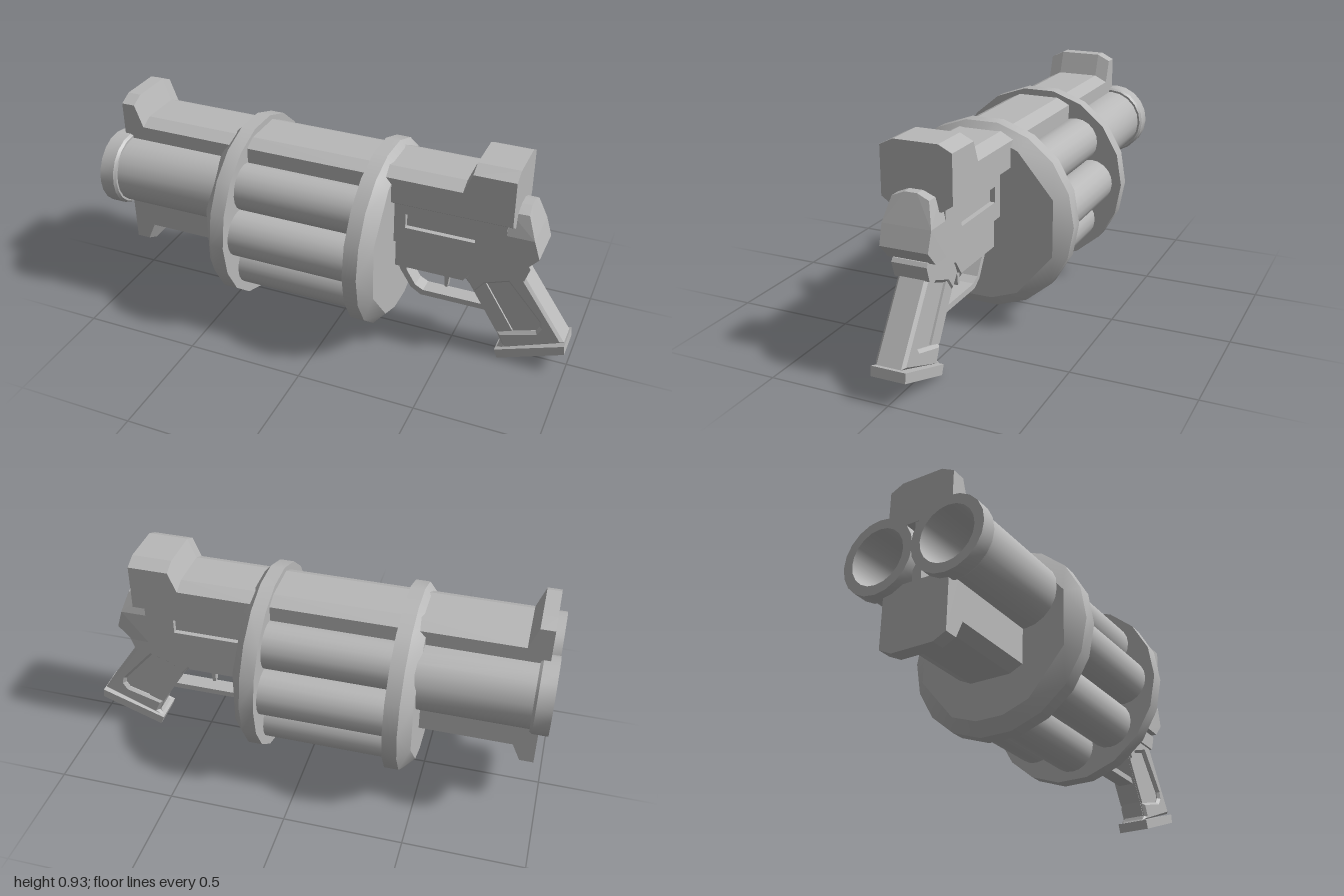
import * as THREE from 'three';
import { toCreasedNormals } from 'three/addons/utils/BufferGeometryUtils.js';
import { ConvexGeometry } from 'three/addons/geometries/ConvexGeometry.js';

const AXIS_Y = 0.47; // height of the drum axis

export function createModel() {
  const model = new THREE.Group();
  const grey = new THREE.MeshStandardMaterial({ color: 0xb8b8b8 });
  grey.name = 'grey metal';

  const add = (name, geometry, parent = model) => {
    const mesh = new THREE.Mesh(geometry, grey);
    mesh.name = name;
    parent.add(mesh);
    return mesh;
  };
  const group = (name) => {
    const g = new THREE.Group();
    g.name = name;
    model.add(g);
    return g;
  };
  // convex solid around a list of [x, y, z]
  const hull = (points) => new ConvexGeometry(points.map((p) => new THREE.Vector3(...p)));
  // side outline extruded evenly to both sides of z = 0
  const plate = (outline, half, hole, bevel = 0) => {
    const shape = new THREE.Shape(outline.map((p) => new THREE.Vector2(...p)));
    if (hole) shape.holes.push(new THREE.Path(hole.map((p) => new THREE.Vector2(...p))));
    const depth = 2 * (half - bevel);
    return new THREE.ExtrudeGeometry(shape, {
      depth, bevelEnabled: bevel > 0, bevelSize: bevel, bevelOffset: -bevel,
      bevelThickness: bevel, bevelSegments: 1,
    }).translate(0, 0, -depth / 2);
  };
  const alongX = (radius, x0, x1, y, z, sides) =>
    new THREE.CylinderGeometry(radius, radius, x1 - x0, sides)
      .rotateZ(Math.PI / 2).translate((x0 + x1) / 2, y, z);

  // drum: core, eight chambers and two chamfered end collars
  const drum = group('drum');
  add('drumCore', alongX(0.25, -0.4, 0.18, AXIS_Y, 0, 24), drum);
  for (let i = 0; i < 8; i++) {
    const a = (i * Math.PI) / 4;
    add('chamber', alongX(0.1, -0.4, 0.18, AXIS_Y + 0.256 * Math.sin(a), 0.256 * Math.cos(a), 20), drum);
  }
  const ring = (x, r, degrees) => degrees.map((d) => {
    const a = THREE.MathUtils.degToRad(d);
    return [x, AXIS_Y + r * Math.sin(a), r * Math.cos(a)];
  });
  const outer = Array.from({ length: 18 }, (_, i) => i * 20);
  const face = [20, 60, 80, 100, 120, 160, 200, 240, 260, 280, 300, 340];
  const collar = (name, inside, edge, end) => add(name, toCreasedNormals(hull([
    ...ring(inside, 0.398, outer), ...ring(edge, 0.398, outer), ...ring(end, 0.347, face),
  ]), 0.4), drum);
  collar('frontCollar', -0.375, -0.435, -0.482);
  collar('rearCollar', 0.15, 0.21, 0.255);

  // two hollow barrels, each with a thicker muzzle ring
  const tube = [
    [0.118, -0.42], [0.118, -1], [0.158, -1], [0.158, -0.937],
    [0.15, -0.926], [0.141, -0.926], [0.141, -0.42],
  ];
  for (const side of [1, -1]) {
    const barrel = new THREE.LatheGeometry(tube.map((p) => new THREE.Vector2(...p)), 20);
    // lathe axis turned from y to x
    barrel.rotateZ(-Math.PI / 2);
    // keep the outside facing outward for this profile order
    const mesh = add('barrel', toCreasedNormals(barrel.toNonIndexed(), 0.5));
    mesh.position.set(0, 0.608, side * 0.155);
  }

  // chamfered rail sections; dir = 1 has its chamfer on top, -1 below
  const section = (x, yTop, yEnd, dir = 1) => [1, -1].flatMap((s) => [
    [x, yTop, s * 0.09], [x, yTop - dir * 0.027, s * 0.145], [x, yEnd, s * 0.145],
  ]);
  const railPart = (name, stations, yEnd, dir, parent) => {
    for (let i = 0; i < stations.length - 1; i++) {
      add(name, hull([
        ...section(...stations[i], yEnd, dir), ...section(...stations[i + 1], yEnd, dir),
      ]), parent);
    }
  };
  const rails = group('rails');
  railPart('upperFrontRail', [[-0.963, 0.93], [-0.905, 0.93], [-0.87, 0.835], [-0.38, 0.835]], 0.735, 1, rails);
  railPart('drumRail', [[-0.38, 0.835], [0.2, 0.835]], 0.7, 1, rails);
  railPart('rearRail', [[0.2, 0.835], [0.545, 0.835], [0.58, 0.92], [0.75, 0.92]], 0.7, 1, rails);
  railPart('lowerFrontRail', [[-0.963, 0.215], [-0.905, 0.215], [-0.87, 0.292], [-0.44, 0.292]], 0.483, -1, rails);
  add('railWeb', plate([[-0.96, 0.45], [-0.44, 0.45], [-0.44, 0.76], [-0.96, 0.76]], 0.02), rails);
  // underside of the rear rail narrowing into the receiver
  add('railTaper', hull([0.2, 0.75].flatMap((x) => [1, -1].flatMap((s) => [
    [x, 0.7, s * 0.145], [x, 0.67, s * 0.1],
  ]))), rails);

  // receiver with a sunken slot on both sides
  const receiver = group('receiver');
  add('receiverShell', plate(
    [[0.2, 0.49], [0.72, 0.49], [0.72, 0.69], [0.2, 0.69]], 0.1,
    [[0.303, 0.565], [0.303, 0.63], [0.595, 0.63], [0.595, 0.565]]), receiver);
  add('slotFloor', plate([[0.28, 0.55], [0.62, 0.55], [0.62, 0.65], [0.28, 0.65]], 0.078), receiver);
  add('receiverRear', hull([1, -1].flatMap((s) => [
    [0.72, 0.745, s * 0.03], [0.79, 0.745, s * 0.025],
    [0.72, 0.725, s * 0.078], [0.795, 0.725, s * 0.075],
    [0.72, 0.63, s * 0.1], [0.83, 0.63, s * 0.1],
    [0.855, 0.55, s * 0.098], [0.8, 0.49, s * 0.098], [0.72, 0.49, s * 0.1],
  ])), receiver);
  add('lowerReceiver', plate([
    [0.2, 0.355], [0.55, 0.355], [0.595, 0.418], [0.8, 0.418], [0.82, 0.48], [0.81, 0.495], [0.2, 0.495],
  ], 0.072), receiver);

  // grip: recessed panel, raised backstrap and base plate
  const grip = group('grip');
  add('gripCore', plate([
    [0.56, 0.36], [0.59, 0.43], [0.78, 0.43], [0.96, 0.14], [0.715, 0.05], [0.725, 0.07], [0.7, 0.13],
  ], 0.046), grip);
  add('backstrap', plate([
    [0.55, 0.36], [0.58, 0.43], [0.795, 0.43], [0.985, 0.15], [0.71, 0.045], [0.73, 0.07],
    [0.705, 0.125], [0.865, 0.175], [0.88, 0.2], [0.875, 0.225], [0.735, 0.385], [0.64, 0.35],
    [0.6, 0.3],
  ], 0.062, null, 0.012), grip);
  add('gripFront', plate([
    [0.56, 0.36], [0.64, 0.36], [0.77, 0.15], [0.705, 0.125],
  ], 0.055), grip);
  add('gripBase', plate([[0.72, 0.003], [0.995, 0.105], [0.99, 0.145], [0.705, 0.042]], 0.071), grip);

  // trigger and its guard
  add('triggerGuard', plate([
    [0.25, 0.36], [0.265, 0.315], [0.315, 0.235], [0.36, 0.207], [0.66, 0.207], [0.645, 0.232],
    [0.37, 0.232], [0.335, 0.25], [0.295, 0.315], [0.285, 0.36],
  ], 0.035));
  add('trigger', plate([
    [0.44, 0.36], [0.455, 0.31], [0.457, 0.265], [0.47, 0.262], [0.475, 0.31], [0.488, 0.36],
  ], 0.016));

  return model;
}
